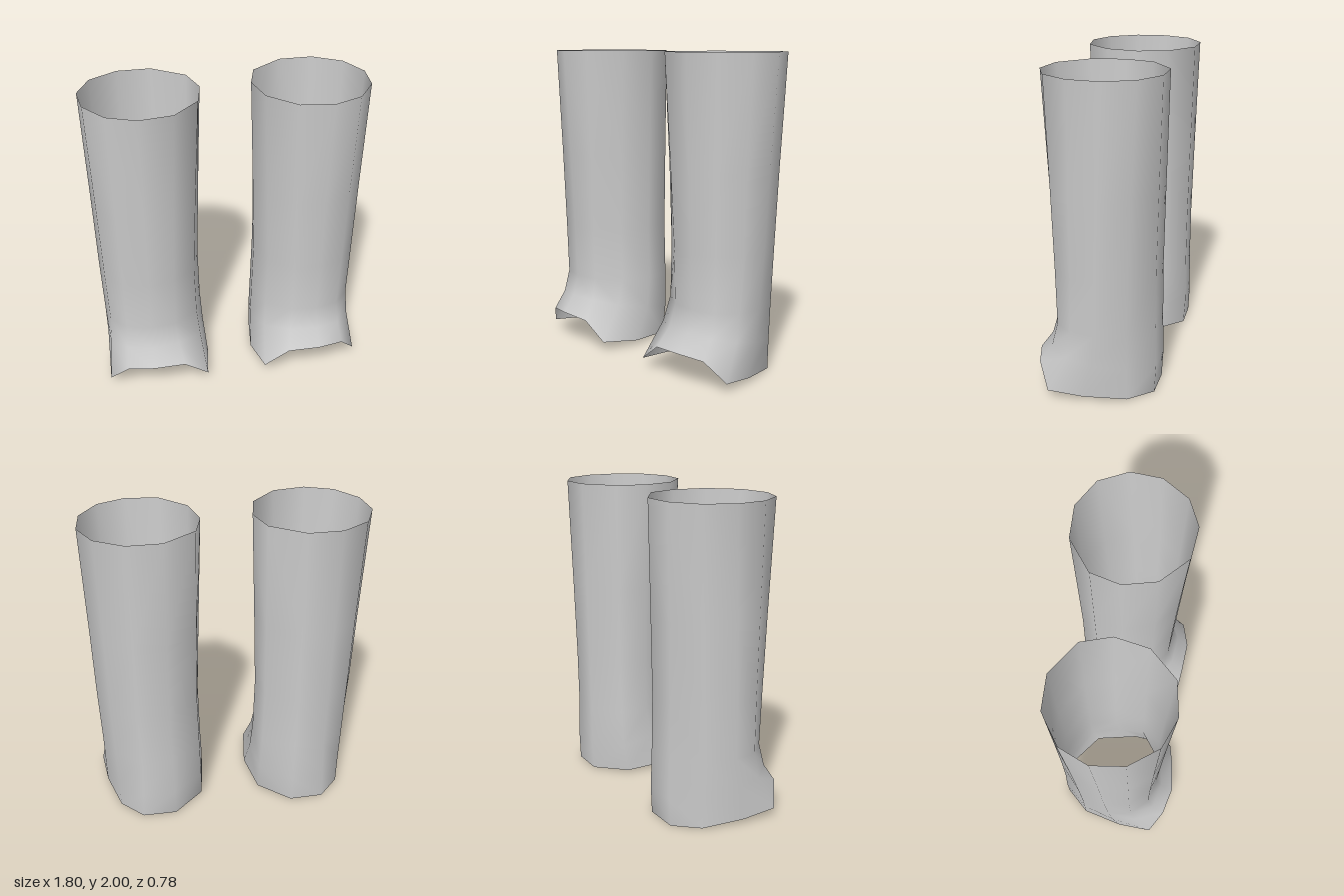
import * as THREE from 'three';

// Each cross-section lists [x, z] corners, from the front centre round the
// outer side to the back and home along the inner side.
const top = [[.58, .345], [.76, .27], [.88, .1], [.9, -.1], [.815, -.285], [.635, -.395],
  [.42, -.395], [.215, -.25], [.16, -.06], [.205, .15], [.37, .315]];
const calf = [[.57, .285], [.73, .235], [.835, .11], [.86, -.05], [.785, -.23], [.62, -.365],
  [.42, -.37], [.225, -.24], [.195, -.06], [.25, .14], [.4, .26]];
const ankle = [[.57, .27], [.72, .23], [.82, .12], [.845, -.03], [.775, -.22], [.61, -.365],
  [.41, -.37], [.215, -.24], [.185, -.06], [.24, .14], [.4, .25]];
const instep = [[.57, .31], [.73, .265], [.83, .15], [.84, -.01], [.765, -.22], [.615, -.37],
  [.405, -.375], [.205, -.23], [.172, -.03], [.225, .19], [.385, .285]];
const hem = [[.57, .39], [.74, .345], [.855, .26], [.835, .04], [.76, -.22], [.62, -.362],
  [.4, -.365], [.2, -.2], [.155, .08], [.2, .345], [.36, .37]];
// The hem arches over the foot at the front
const hemY = [.2, .185, .055, .03, .005, 0, 0, .015, .03, .065, .185];

const blend = (a, b, t) => a.map(([x, z], i) => [x + (b[i][0] - x) * t, z + (b[i][1] - z) * t]);

const rings = [
  { pts: top, y: () => 2 },
  { pts: blend(top, calf, .62), y: () => 1.3 },
  { pts: calf, y: () => .8 },
  { pts: ankle, y: () => .45 },
  { pts: instep, y: (i, z) => .25 + .2 * z },
  { pts: hem, y: i => hemY[i] },
];

// Open, smooth-shaded tube lofted through the rings; side = 1 or -1
function legTube(side) {
  const n = top.length, positions = [], index = [];
  for (const { pts, y } of rings) pts.forEach(([x, z], i) => positions.push(side * x, y(i, z), z));
  for (let r = 0; r < rings.length - 1; r++) {
    for (let i = 0; i < n; i++) {
      const j = (i + 1) % n;
      const c = r * n + i, d = r * n + j, a = c + n, b = d + n;
      if (side > 0) index.push(a, b, d, a, d, c);
      else index.push(a, d, b, a, c, d);
    }
  }
  const geometry = new THREE.BufferGeometry();
  geometry.setAttribute('position', new THREE.Float32BufferAttribute(positions, 3));
  geometry.setIndex(index);
  geometry.computeVertexNormals();
  return geometry;
}

export function createModel() {
  const model = new THREE.Group();
  model.name = 'legTubes';
  const material = new THREE.MeshStandardMaterial({ color: 0xcccccc, side: THREE.DoubleSide });
  for (const [name, side] of [['leftLeg', 1], ['rightLeg', -1]]) {
    const leg = new THREE.Mesh(legTube(side), material);
    leg.name = name;
    model.add(leg);
  }
  return model;
}
